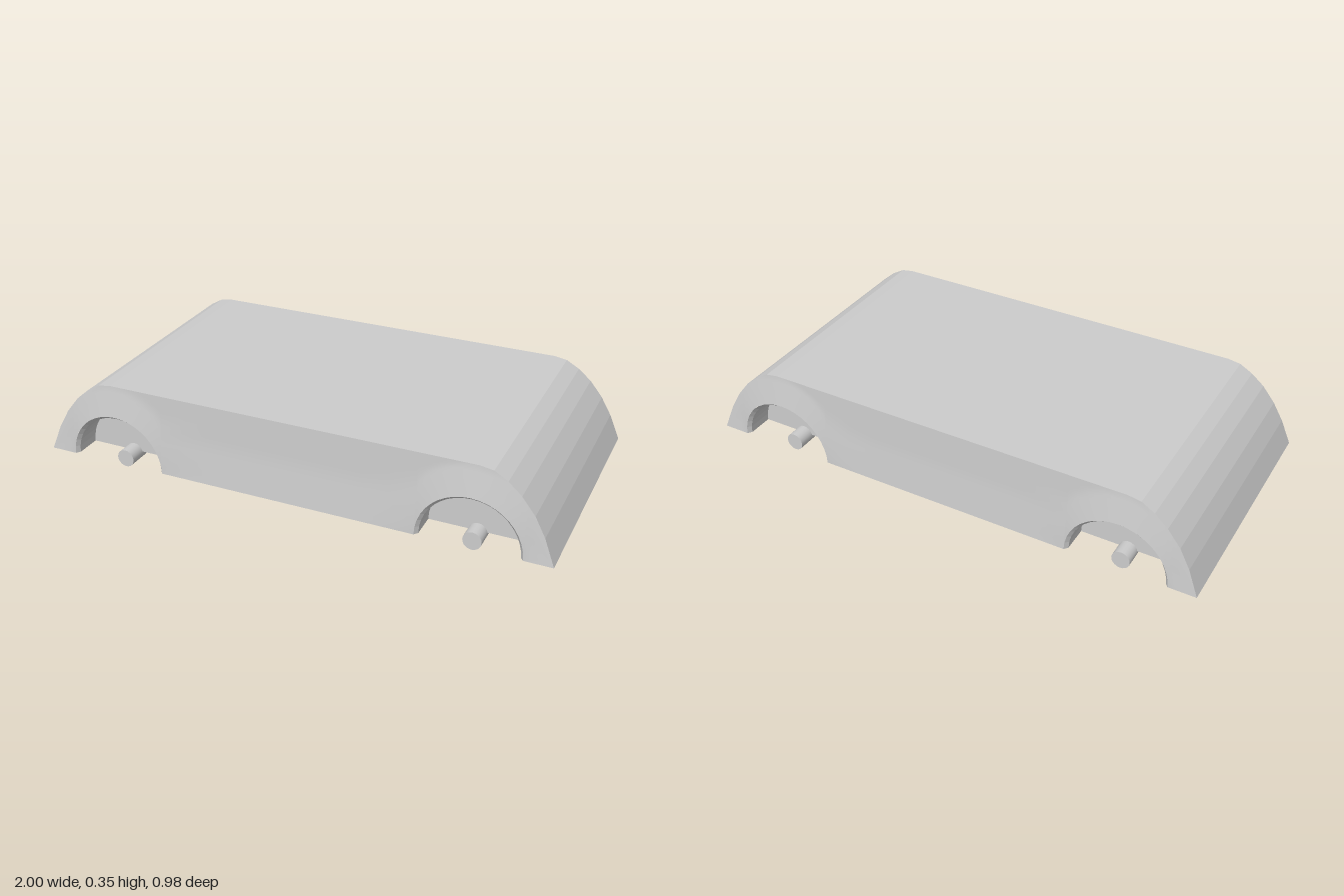
import * as THREE from 'three';

const BASE = 0.04, WHEEL_X = 0.7, ARCH_R = 0.195, WELL_R = 0.183, WELL_Z = 0.375;

// Half of the roof line, from the roof to the bumper
const PROFILE = [[0, 0.355], [0.72, 0.355], [0.77, 0.347], [0.82, 0.318], [0.87, 0.275],
  [0.92, 0.212], [0.96, 0.14], [1, BASE]];
// Half width of the body by height
const WIDTH = [[BASE, 0.49], [0.2, 0.475], [0.355, 0.47]];

function lerpTable(table, t) {
  for (let i = 1; i < table.length; i++) {
    const [a, va] = table[i - 1], [b, vb] = table[i];
    if (t <= b) return va + (vb - va) * Math.max(0, (t - a) / (b - a));
  }
  return table[table.length - 1][1];
}

const roofY = (x) => lerpTable(PROFILE, Math.abs(x));

// Leaning side with a conical flare around each wheel arch
function sideZ(x, y) {
  const r = Math.hypot(Math.abs(x) - WHEEL_X, y - BASE);
  const flare = 0.49 - 0.02 * Math.max(0, (r - ARCH_R) / (0.31 - ARCH_R));
  return Math.max(lerpTable(WIDTH, y), flare);
}

// Lower edge of the side, cut by the arches
function sillY(x) {
  const d = Math.abs(x) - WHEEL_X;
  return BASE + Math.sqrt(Math.max(0, ARCH_R * ARCH_R - d * d));
}

// Surface from a grid of points
function grid(cols, rows, point) {
  const pos = [], index = [];
  for (let i = 0; i <= cols; i++) for (let j = 0; j <= rows; j++) pos.push(...point(i, j));
  for (let i = 0; i < cols; i++) {
    for (let j = 0; j < rows; j++) {
      const a = i * (rows + 1) + j, b = a + rows + 1;
      index.push(a, b, b + 1, a, b + 1, a + 1);
    }
  }
  const g = new THREE.BufferGeometry();
  g.setAttribute('position', new THREE.Float32BufferAttribute(pos, 3));
  g.setIndex(index);
  g.computeVertexNormals();
  return g;
}

// Stations along the body: arch steps, roof corners and even steps
function stations() {
  const half = PROFILE.map((p) => p[0]);
  for (let i = 0; i <= 20; i++) half.push(WHEEL_X - ARCH_R * Math.cos((Math.PI * i) / 20));
  for (let x = 0.1; x < 0.5; x += 0.1) half.push(x);
  const all = [...half, ...half.map((x) => -x)].sort((a, b) => a - b);
  return all.filter((x, i) => i === 0 || x - all[i - 1] > 1e-4);
}

export function createModel() {
  const model = new THREE.Group();
  const smooth = new THREE.MeshStandardMaterial({ color: 0xcccccc, side: THREE.DoubleSide });
  const flat = new THREE.MeshStandardMaterial({ color: 0xcccccc, side: THREE.DoubleSide, flatShading: true });
  const add = (name, geometry, material, parent = model) => {
    const mesh = new THREE.Mesh(geometry, material);
    mesh.name = name;
    parent.add(mesh);
    return mesh;
  };

  const xs = stations(), n = xs.length - 1;

  // Roof running down into both ends
  add('roofAndEnds', grid(n, 1, (i, j) => {
    const x = xs[i], y = roofY(x);
    return [x, y, sideZ(x, y) * (j ? -1 : 1)];
  }), flat);

  // Side panels with wheel arches
  const rows = 10;
  const panel = grid(n, rows, (i, j) => {
    const x = xs[i], low = sillY(x), y = low + (roofY(x) - low) * (j / rows);
    return [x, y, sideZ(x, y)];
  });

  // Wheel well: tapered lining and closed inner wall
  const steps = 20;
  const rings = [[ARCH_R, 0.49], [WELL_R, 0.475], [WELL_R, WELL_Z]];
  const lining = grid(steps, 2, (i, j) => {
    const a = (Math.PI * i) / steps, [r, z] = rings[j];
    return [-r * Math.cos(a), r * Math.sin(a), z];
  });
  const wall = new THREE.CircleGeometry(WELL_R, steps, 0, Math.PI);
  wall.translate(0, 0, WELL_Z);

  for (const s of [1, -1]) {
    const side = new THREE.Group();
    side.name = s > 0 ? 'frontSide' : 'backSide';
    side.scale.z = s;
    model.add(side);
    add('sidePanel', panel, smooth, side);
    for (const x of [-WHEEL_X, WHEEL_X]) {
      const well = new THREE.Group();
      well.name = 'wheelWell';
      well.position.set(x, BASE, 0);
      side.add(well);
      add('wellLining', lining, flat, well);
      add('wellWall', wall, flat, well);
    }
  }

  // Axles
  const axle = new THREE.CylinderGeometry(0.035, 0.035, 0.88, 20).rotateX(Math.PI / 2);
  for (const x of [-WHEEL_X, WHEEL_X]) add('axle', axle, smooth).position.set(x, 0.035, 0);

  return model;
}
